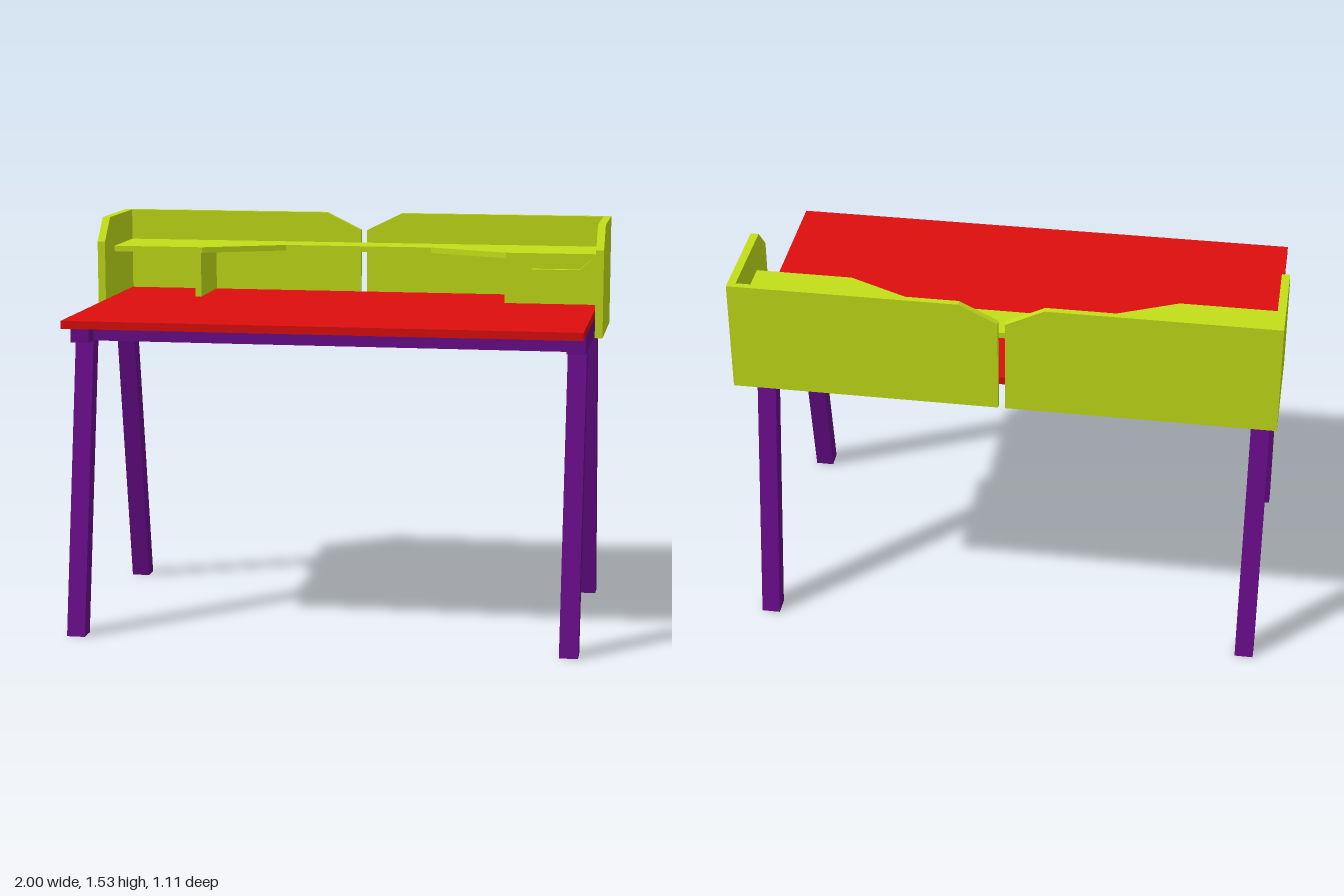
import * as THREE from 'three';

const lime = new THREE.MeshStandardMaterial({ color: 0xc2de18 });
const red = new THREE.MeshStandardMaterial({ color: 0xdd0e0e });
const purple = new THREE.MeshStandardMaterial({ color: 0x6a0d8a });

export function createModel() {
  const model = new THREE.Group();
  model.name = 'desk';

  const add = (name, geometry, material) => {
    const mesh = new THREE.Mesh(geometry, material);
    mesh.name = name;
    model.add(mesh);
    return mesh;
  };

  // Box given by its extents on each axis
  const box = (name, material, [x0, x1], [y0, y1], [z0, z1]) =>
    add(name, new THREE.BoxGeometry(x1 - x0, y1 - y0, z1 - z0), material)
      .position.set((x0 + x1) / 2, (y0 + y1) / 2, (z0 + z1) / 2);

  const extrude = (points, depth) => new THREE.ExtrudeGeometry(
    new THREE.Shape(points.map(([a, b]) => new THREE.Vector2(a, b))),
    { depth, bevelEnabled: false });

  // Outline in (x, y), thickness from z0 to z1
  const frontPlate = (name, material, points, z0, z1) =>
    add(name, extrude(points, z1 - z0).translate(0, 0, z0), material);

  // Outline in (z, y), thickness from x0 to x1
  const sidePlate = (name, material, points, x0, x1) =>
    add(name, extrude(points.map(([z, y]) => [-z, y]), x1 - x0)
      .rotateY(Math.PI / 2).translate(x0, 0, 0), material);

  // Table top
  box('tableTop', red, [-0.97, 0.97], [1.18, 1.21], [-0.52, 0.55]);

  // Under-frame: two cross beams between two side rails
  box('frontBeam', purple, [-0.9, 0.9], [1.11, 1.18], [0.28, 0.35]);
  box('backBeam', purple, [-0.9, 0.9], [1.11, 1.18], [-0.32, -0.25]);

  for (const [side, x0, x1] of [['left', 0.9, 0.97], ['right', -0.97, -0.9]]) {
    box(side + 'Rail', purple, [x0, x1], [1.11, 1.18], [-0.39, 0.42]);
    // Splayed legs, cut level at both ends
    sidePlate(side + 'FrontLeg', purple,
      [[0.55, 0], [0.48, 0], [0.28, 1.11], [0.35, 1.11]], x0, x1);
    sidePlate(side + 'BackLeg', purple,
      [[-0.52, 0], [-0.45, 0], [-0.25, 1.11], [-0.32, 1.11]], x0, x1);
  }

  // Screen: two back panels with a slit between them, and side panels
  for (const [side, s] of [['left', 1], ['right', -1]]) {
    frontPlate(side + 'BackPanel', lime,
      [[0.013, 1.1], [1, 1.1], [1, 1.53], [0.155, 1.53], [0.013, 1.46]]
        .map(([x, y]) => [s * x, y]), -0.555, -0.53);
    sidePlate(side + 'SidePanel', lime,
      [[-0.53, 1.1], [-0.095, 1.1], [-0.095, 1.44], [-0.18, 1.53], [-0.53, 1.53]],
      s > 0 ? 0.97 : -1, s > 0 ? 1 : -0.97);
  }

  // Shelf with a recessed middle, drawn in (x, -z) and laid flat
  add('shelf', extrude([[-0.97, 0.53], [-0.97, 0.24], [-0.61, 0.24], [-0.295, 0.385],
    [0.295, 0.385], [0.61, 0.24], [0.97, 0.24], [0.97, 0.53]], 0.022)
    .rotateX(-Math.PI / 2).translate(0, 1.387, 0), lime);

  // Shelf support
  box('shelfDivider', lime, [-0.64, -0.615], [1.21, 1.387], [-0.53, -0.245]);

  // Drawer: front with a finger notch, then an open-topped tray
  frontPlate('drawerFront', lime, [[0.605, 1.21], [0.97, 1.21], [0.97, 1.387], [0.945, 1.387],
    [0.895, 1.345], [0.71, 1.345], [0.66, 1.387], [0.605, 1.387]], -0.27, -0.245);
  box('drawerBottom', lime, [0.605, 0.97], [1.21, 1.23], [-0.53, -0.27]);
  box('drawerRightSide', lime, [0.605, 0.63], [1.23, 1.387], [-0.53, -0.27]);
  box('drawerLeftSide', lime, [0.945, 0.97], [1.23, 1.387], [-0.53, -0.27]);
  box('drawerBack', lime, [0.63, 0.945], [1.23, 1.387], [-0.53, -0.51]);

  return model;
}
